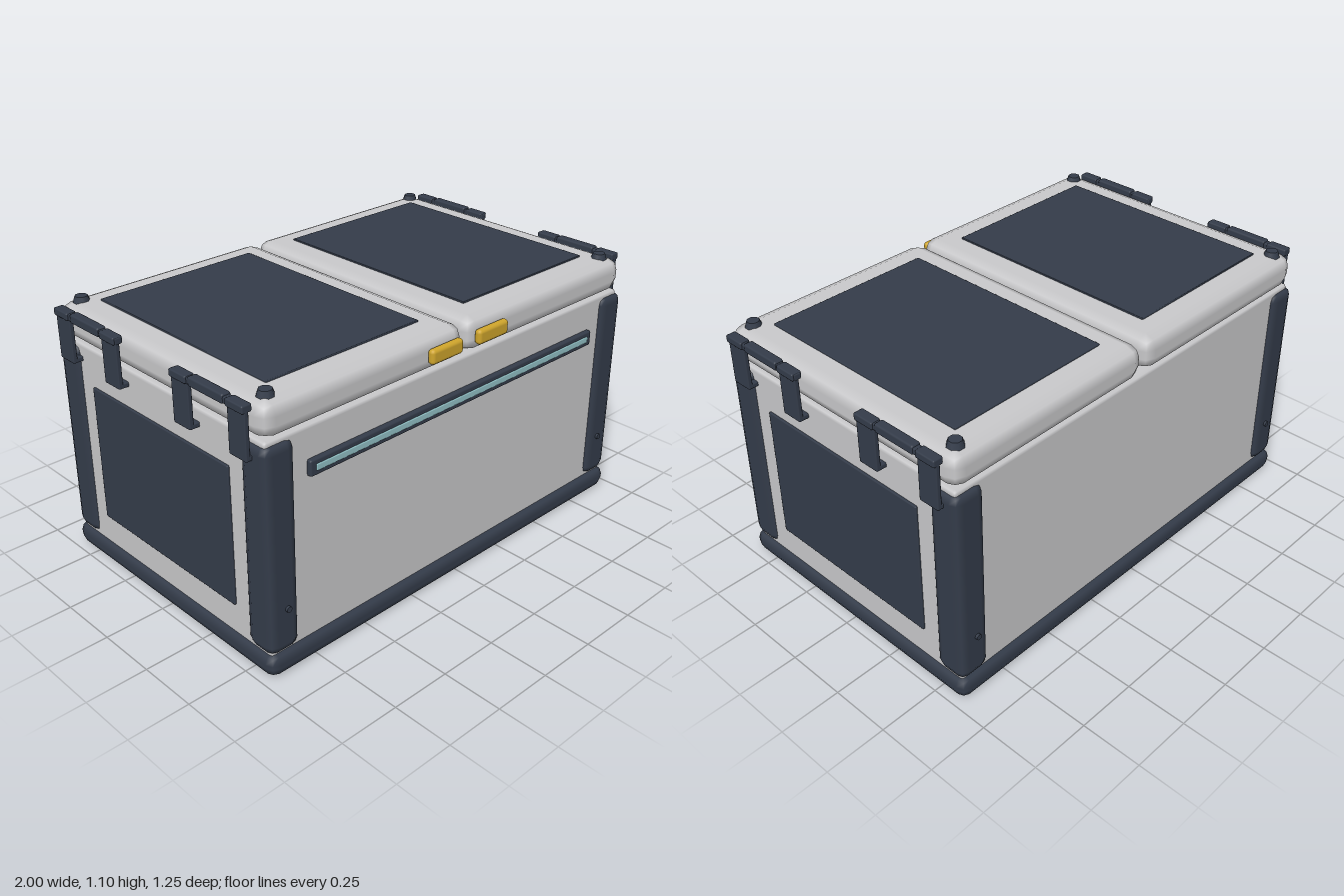
import * as THREE from 'three';
import { RoundedBoxGeometry } from 'three/addons/geometries/RoundedBoxGeometry.js';

const mat = (name, color) => {
  const m = new THREE.MeshStandardMaterial({ color });
  m.name = name;
  return m;
};

export function createModel() {
  const shell = mat('light grey shell', 0xc9c9cb);
  const dark = mat('dark slate trim', 0x343c4a);
  const gold = mat('gold latch', 0xcfa52c);
  const glow = mat('pale cyan light', 0x93c3c8);

  const root = new THREE.Group();
  root.name = 'storageChest';

  const add = (name, geo, material, x, y, z, parent = root) => {
    const mesh = new THREE.Mesh(geo, material);
    mesh.name = name;
    mesh.position.set(x, y, z);
    parent.add(mesh);
    return mesh;
  };
  // Rounded box given by its minimum and maximum on each axis
  const block = (name, material, [x0, x1], [y0, y1], [z0, z1], radius, segments = 1, parent = root) =>
    add(name, new RoundedBoxGeometry(x1 - x0, y1 - y0, z1 - z0, segments, radius), material,
      (x0 + x1) / 2, (y0 + y1) / 2, (z0 + z1) / 2, parent);
  // The same span mirrored to the side s
  const span = (s, a, b) => (s > 0 ? [a, b] : [-b, -a]);

  // Foot slab and main body
  block('base', dark, [-0.972, 0.972], [0, 0.095], [-0.622, 0.617], 0.04);
  block('body', shell, [-0.95, 0.95], [0.05, 0.94], [-0.595, 0.59], 0.015);

  // Light bar on the front
  block('lightFrame', dark, [-0.77, 0.77], [0.748, 0.812], [0.58, 0.609], 0.008);
  block('lightStrip', glow, [-0.745, 0.745], [0.767, 0.793], [0.6, 0.613], 0.004);

  for (const s of [1, -1]) {
    // Corner posts with a small bolt on the outer face
    for (const f of [1, -1]) {
      const z = f > 0 ? [0.473, 0.61] : [-0.615, -0.478];
      block('cornerPost', dark, span(s, 0.83, 0.967), [0.093, 0.928], z, 0.035);
      const bolt = add('postBolt', new THREE.CylinderGeometry(0.012, 0.012, 0.02, 10), dark,
        s * 0.888, 0.275, f > 0 ? 0.61 : -0.615);
      bolt.rotation.x = Math.PI / 2;
    }

    // Side panel
    block('sidePanel', dark, span(s, 0.94, 0.959), [0.212, 0.782], [-0.407, 0.402], 0.005);

    // Lid with its inset panel, corner studs and front latch
    const lid = new THREE.Group();
    lid.name = s > 0 ? 'leftLid' : 'rightLid';
    root.add(lid);
    block('lidShell', shell, span(s, 0.006, 0.957), [0.938, 1.077], [-0.605, 0.6], 0.052, 1, lid);
    block('lidPanel', dark, span(s, 0.122, 0.838), [1.06, 1.084], [-0.487, 0.473], 0.003, 1, lid);
    for (const z of [0.53, -0.54]) {
      add('lidStud', new THREE.CylinderGeometry(0.025, 0.035, 0.03, 8).toNonIndexed(), dark,
        s * 0.888, 1.081, z, lid).rotation.y = Math.PI / 8;
    }
    block('frontLatch', gold, span(s, 0.042, 0.207), [0.978, 1.038], [0.597, 0.629], 0.015, 2, lid);

    // Side handles: a rail carried by two hanging straps
    for (const f of [1, -1]) {
      const handle = new THREE.Group();
      handle.name = 'sideHandle';
      handle.position.z = -0.005;
      root.add(handle);
      block('rail', dark, span(s, 0.962, 0.994), [1.045, 1.072], span(f, 0.16, 0.553), 0.006, 1, handle);
      block('grip', dark, span(s, 0.958, 0.997), [1.042, 1.079], span(f, 0.263, 0.45), 0.008, 1, handle);
      for (const [a, b] of [[0.163, 0.255], [0.463, 0.553]]) {
        block('strapCap', dark, span(s, 0.958, 1.0), [1.045, 1.075], span(f, a, b), 0.006, 1, handle);
        block('strap', dark, span(s, 0.972, 0.991), [0.868, 1.065], span(f, a, b), 0.005, 1, handle);
        block('strapFoot', dark, span(s, 0.945, 0.98), [0.868, 0.888], span(f, a, b), 0.005, 1, handle);
      }
    }
  }
  return root;
}
